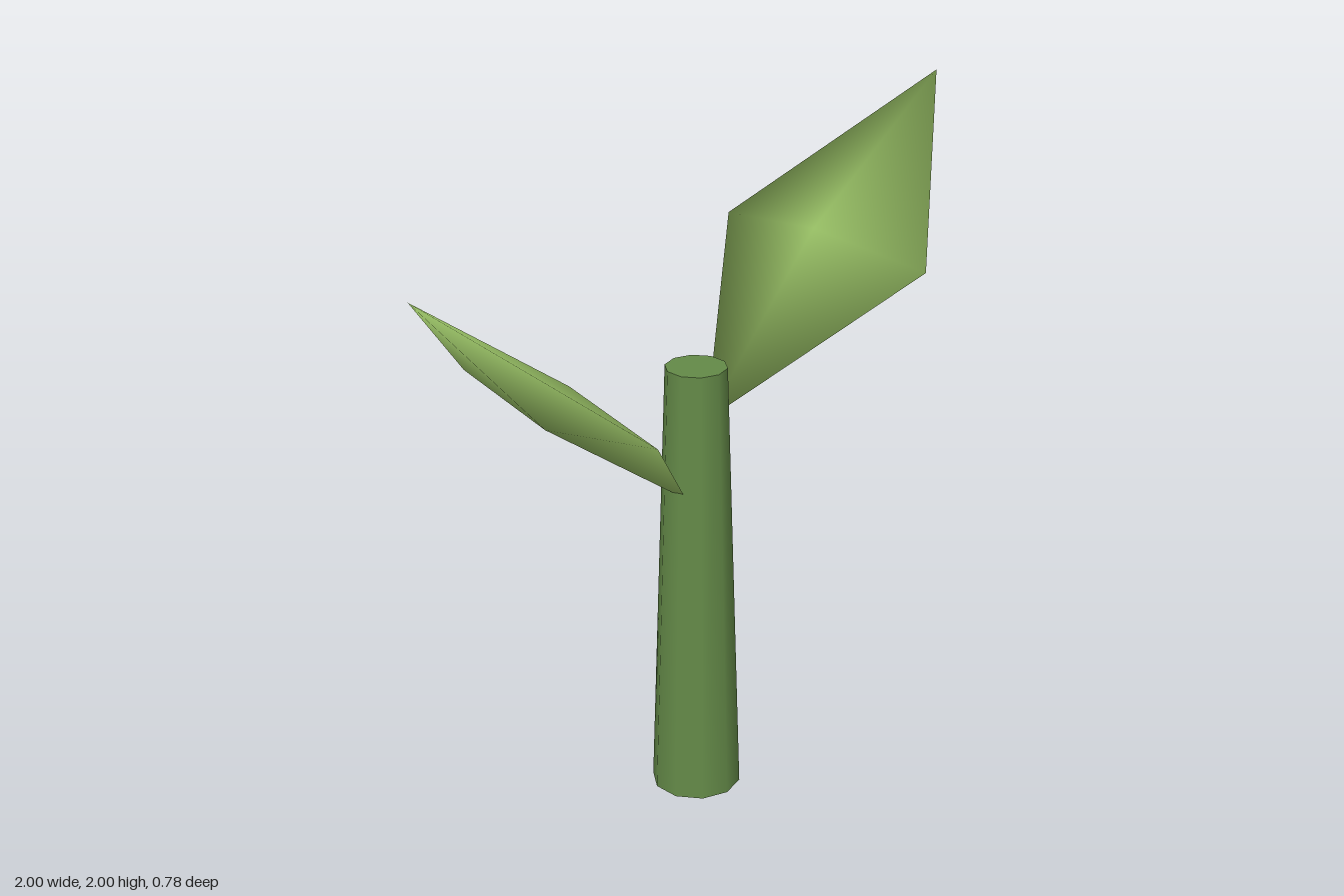
import * as THREE from 'three';

export function createModel() {
  const model = new THREE.Group();
  const stemGreen = new THREE.MeshStandardMaterial({ color: 0x648a48 });
  stemGreen.name = 'stem green';
  const leafGreen = new THREE.MeshStandardMaterial({ color: 0x94bb62 });
  leafGreen.name = 'leaf green';

  // Tapered ten-sided stem standing on the ground
  const stemHeight = 1.333;
  const stem = new THREE.Mesh(
    new THREE.CylinderGeometry(0.09, 0.132, stemHeight, 10), stemGreen);
  stem.name = 'stem';
  stem.position.y = stemHeight / 2;
  model.add(stem);

  // Flat diamond leaf: a four-sided, smooth-shaded bipyramid
  const leafShape = new THREE.SphereGeometry(1, 4, 2);
  const halfLength = 0.638, halfThickness = 0.067, halfWidth = 0.388;
  const tilt = Math.atan2(0.422, 0.48);

  // The left leaf sits a little higher on the stem than the right one
  for (const [name, side, height] of [['leftLeaf', 1, 1.578], ['rightLeaf', -1, 1.357]]) {
    const leaf = new THREE.Mesh(leafShape, leafGreen);
    leaf.name = name;
    leaf.scale.set(halfThickness, halfLength, halfWidth);
    leaf.rotation.z = -side * (Math.PI / 2 - tilt);
    leaf.position.set(side * 0.52, height, 0);
    model.add(leaf);
  }
  return model;
}
